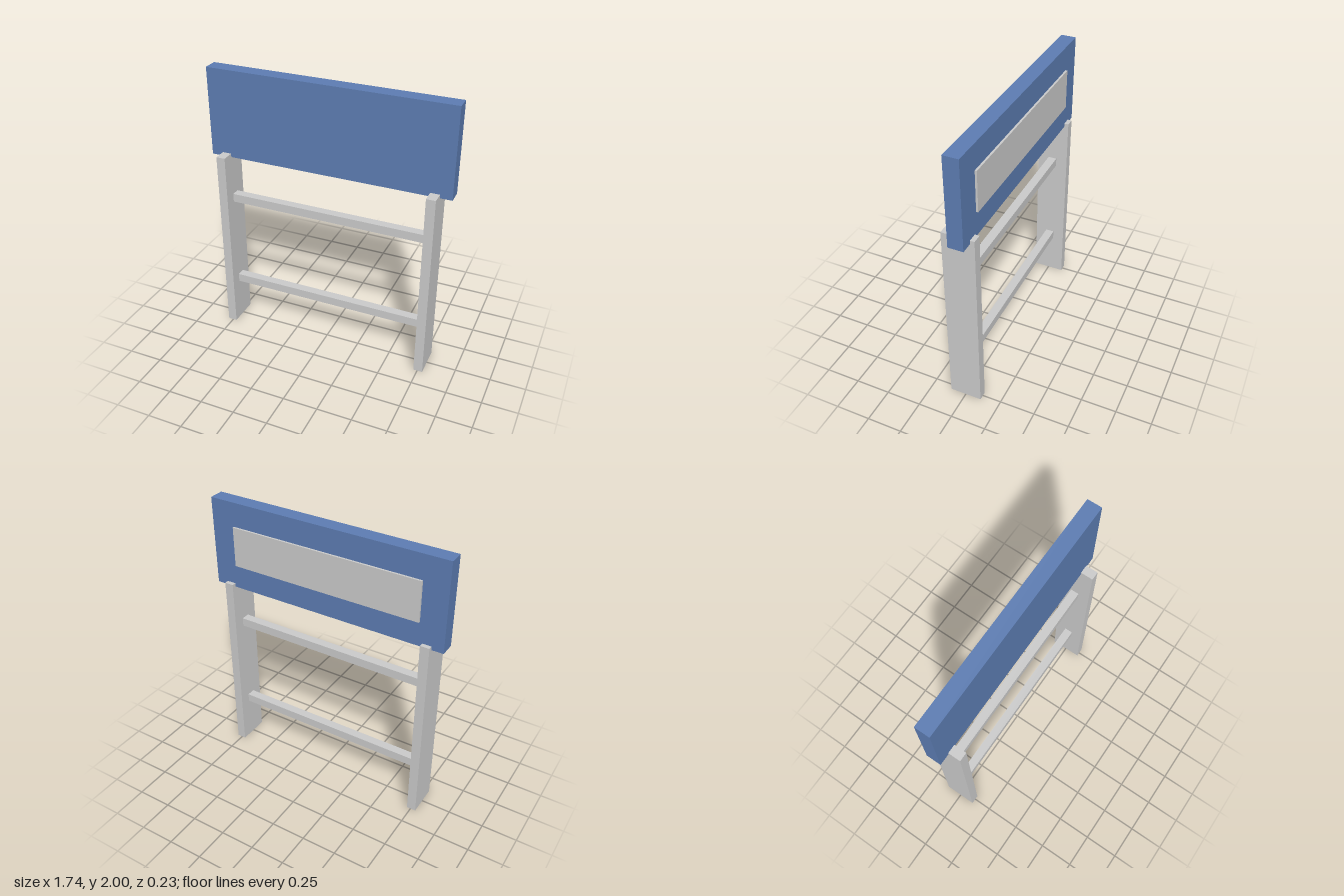
import * as THREE from 'three';

export function createModel() {
  const model = new THREE.Group();
  const grey = new THREE.MeshStandardMaterial({ color: 0xcccccc });
  const blue = new THREE.MeshStandardMaterial({ color: 0x5d7db3 });

  // Box given by its lower and upper corners
  function addBox(name, material, [x0, y0, z0], [x1, y1, z1]) {
    const mesh = new THREE.Mesh(new THREE.BoxGeometry(x1 - x0, y1 - y0, z1 - z0), material);
    mesh.position.set((x0 + x1) / 2, (y0 + y1) / 2, (z0 + z1) / 2);
    mesh.name = name;
    model.add(mesh);
  }

  // Plank legs
  addBox('leftLeg', grey, [0.722, 0, -0.114], [0.787, 1.391, 0.114]);
  addBox('rightLeg', grey, [-0.787, 0, -0.114], [-0.722, 1.391, 0.114]);

  // Cross rails between the legs
  const rails = { lowerRail: 0.35, upperRail: 1.045 };
  for (const [name, y] of Object.entries(rails)) {
    addBox(name, grey, [-0.722, y - 0.031, -0.031], [0.722, y + 0.031, 0.031]);
  }

  // Board on top, with a thin plate on its back
  addBox('board', blue, [-0.87, 1.365, -0.083], [0.87, 2, 0.023]);
  addBox('backPlate', grey, [-0.696, 1.54, -0.097], [0.696, 1.827, -0.083]);

  return model;
}
